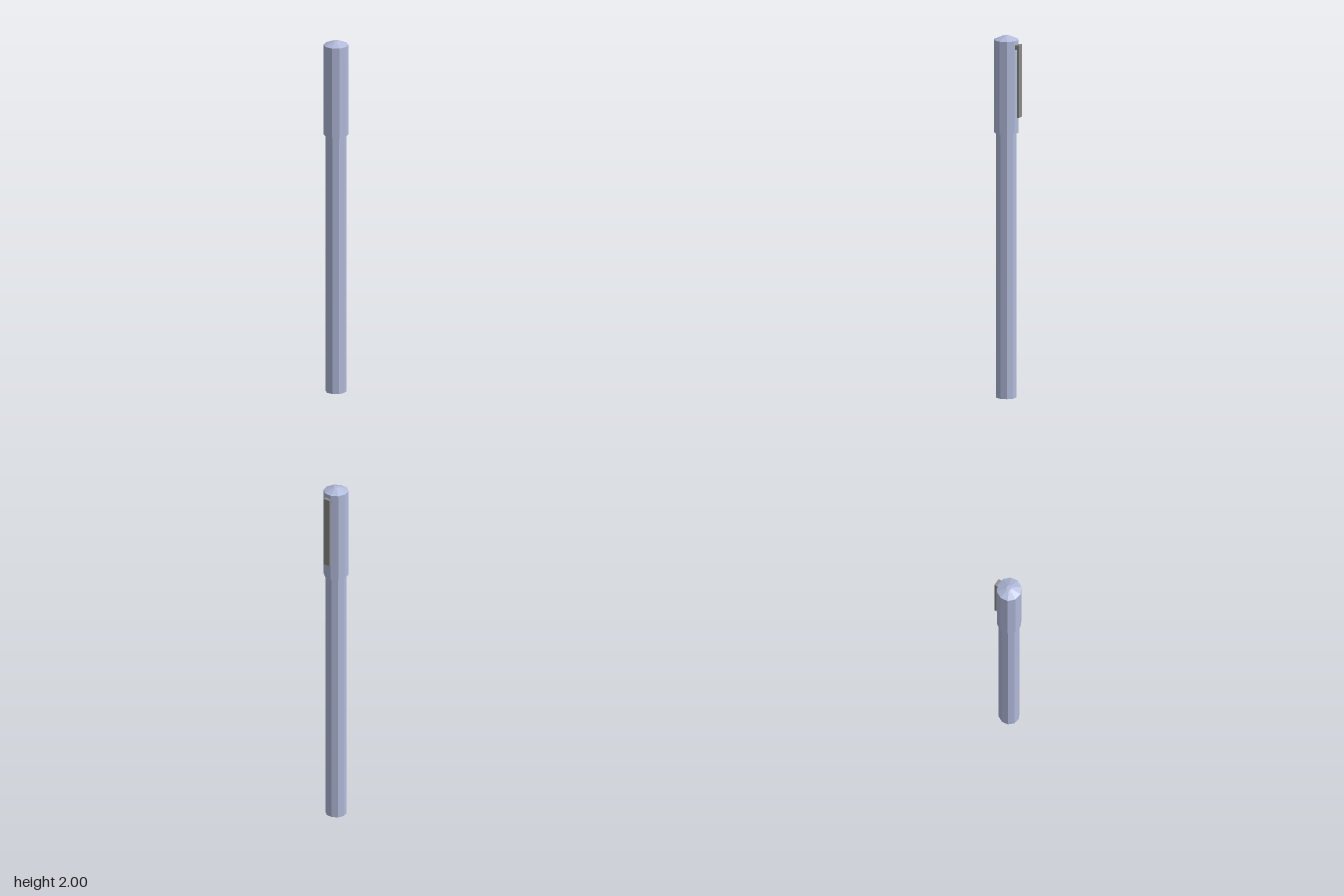
import * as THREE from 'three';

const SIDES = 10;
const TWIST = 0.143; // turns the ten-sided section to sit off-axis
const AXIS_Z = 0.007;

export function createModel() {
  const group = new THREE.Group();
  const casing = new THREE.MeshStandardMaterial({ color: 0xb2badb });
  casing.name = 'paleBlueCasing';
  const metal = new THREE.MeshStandardMaterial({ color: 0x8c8c8a });
  metal.name = 'greyMetal';

  const add = (name, geometry, material, z = 0) => {
    const mesh = new THREE.Mesh(geometry, material);
    mesh.name = name;
    mesh.position.z = z;
    group.add(mesh);
  };

  // Ten-sided prism or cone slice with flat facets
  const prism = (rTop, rBottom, y0, y1, open = false) => {
    const g = new THREE.CylinderGeometry(rTop, rBottom, y1 - y0, SIDES, 1, open, TWIST);
    g.translate(0, (y0 + y1) / 2, 0);
    const flat = g.toNonIndexed();
    flat.computeVertexNormals();
    return flat;
  };

  // Barrel and the wider cap over its upper end
  add('barrel', prism(0.0575, 0.0575, 0, 1.47), casing, AXIS_Z);
  add('cap', prism(0.068, 0.068, 1.465, 1.977), casing, AXIS_Z);

  // Shallow cone closing the cap, with a small flat tip
  add('capCrown', prism(0.014, 0.068, 1.977, 2.0), casing, AXIS_Z);

  // Pocket clip: a long strip joined to the cap only at its top
  const profile = new THREE.Shape([
    [0.045, 1.955], [0.045, 1.93], [0.066, 1.93],
    [0.066, 1.555], [0.078, 1.555], [0.078, 1.955],
  ].map(([back, y]) => new THREE.Vector2(back, y)));
  const clip = new THREE.ExtrudeGeometry(profile, { depth: 0.041, bevelEnabled: false });
  clip.rotateY(Math.PI / 2);
  clip.translate(-0.0155, 0, 0);
  add('pocketClip', clip, metal);

  return group;
}
